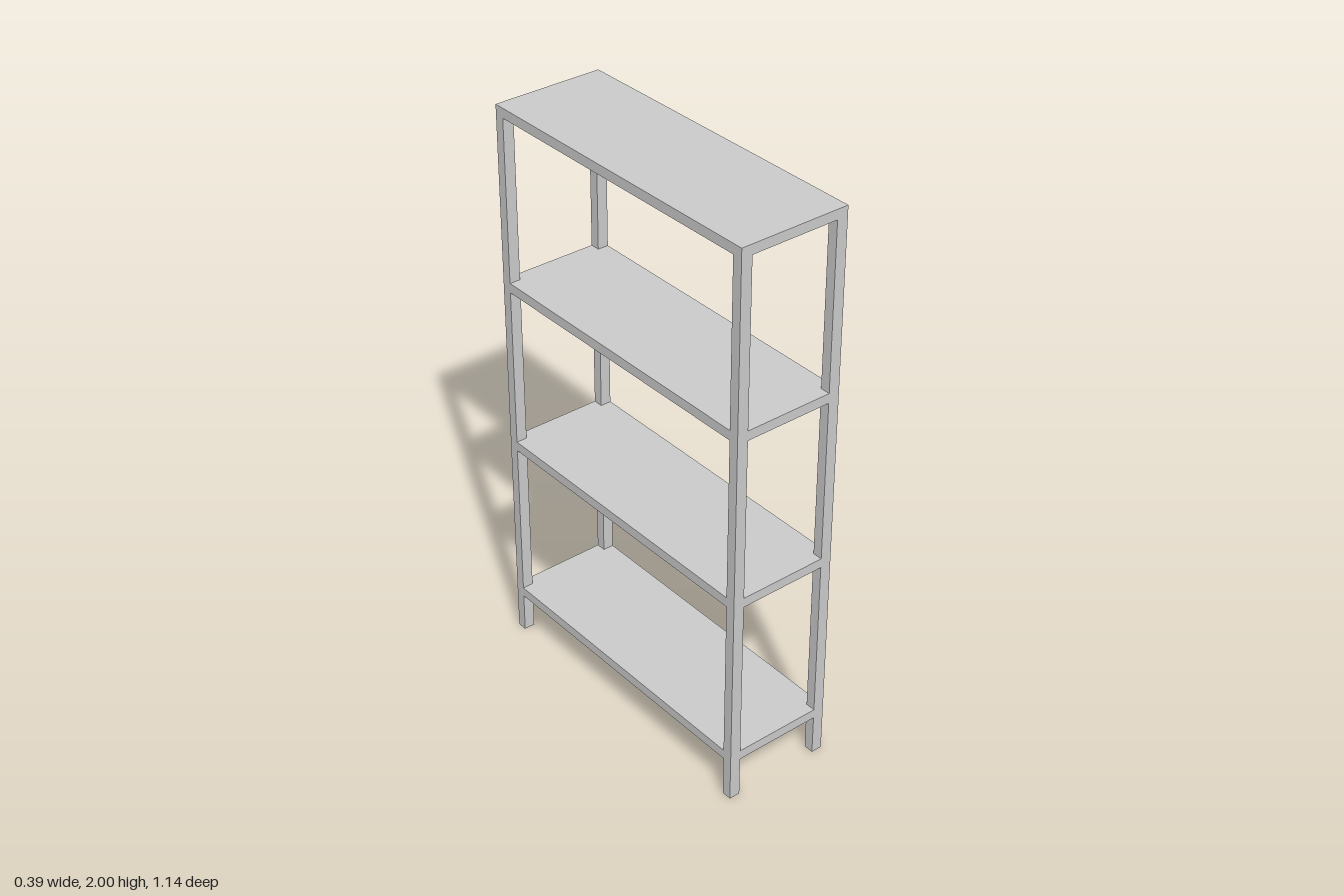
import * as THREE from 'three';

const HALF_X = 0.195, HALF_Z = 0.57; // overall footprint
const POST_X = 0.039, POST_Z = 0.035; // post section
const THICK = 0.034; // shelf thickness
const HEIGHT = 2;

export function createModel() {
  const group = new THREE.Group();
  group.name = 'shelvingRack';
  const material = new THREE.MeshStandardMaterial({ color: 0xcccccc, flatShading: true });

  const add = (name, geometry, x, y, z) => {
    const mesh = new THREE.Mesh(geometry, material);
    mesh.name = name;
    mesh.position.set(x, y, z);
    group.add(mesh);
  };

  // Four corner posts, ending under the top board
  const postHeight = HEIGHT - THICK;
  const postGeometry = new THREE.BoxGeometry(POST_X, postHeight, POST_Z);
  for (const sx of [-1, 1]) {
    for (const sz of [-1, 1]) {
      const name = (sz > 0 ? 'front' : 'back') + (sx > 0 ? 'Left' : 'Right') + 'Post';
      add(name, postGeometry, sx * (HALF_X - POST_X / 2), postHeight / 2, sz * (HALF_Z - POST_Z / 2));
    }
  }

  // Top board covers the posts
  add('topShelf', new THREE.BoxGeometry(HALF_X * 2, THICK, HALF_Z * 2), 0, HEIGHT - THICK / 2, 0);

  // Lower shelves are notched around the posts and flush with their faces
  const ix = HALF_X - POST_X, iz = HALF_Z - POST_Z;
  const outline = new THREE.Shape([
    [ix, -HALF_Z], [ix, -iz], [HALF_X, -iz], [HALF_X, iz], [ix, iz], [ix, HALF_Z],
    [-ix, HALF_Z], [-ix, iz], [-HALF_X, iz], [-HALF_X, -iz], [-ix, -iz], [-ix, -HALF_Z],
  ].map(([x, z]) => new THREE.Vector2(x, z)));
  const shelfGeometry = new THREE.ExtrudeGeometry(outline, { depth: THICK, bevelEnabled: false });
  shelfGeometry.rotateX(-Math.PI / 2);
  [['bottomShelf', 0.18], ['lowerShelf', 0.788], ['upperShelf', 1.392]].forEach(([name, top]) =>
    add(name, shelfGeometry, 0, top - THICK, 0));

  return group;
}
